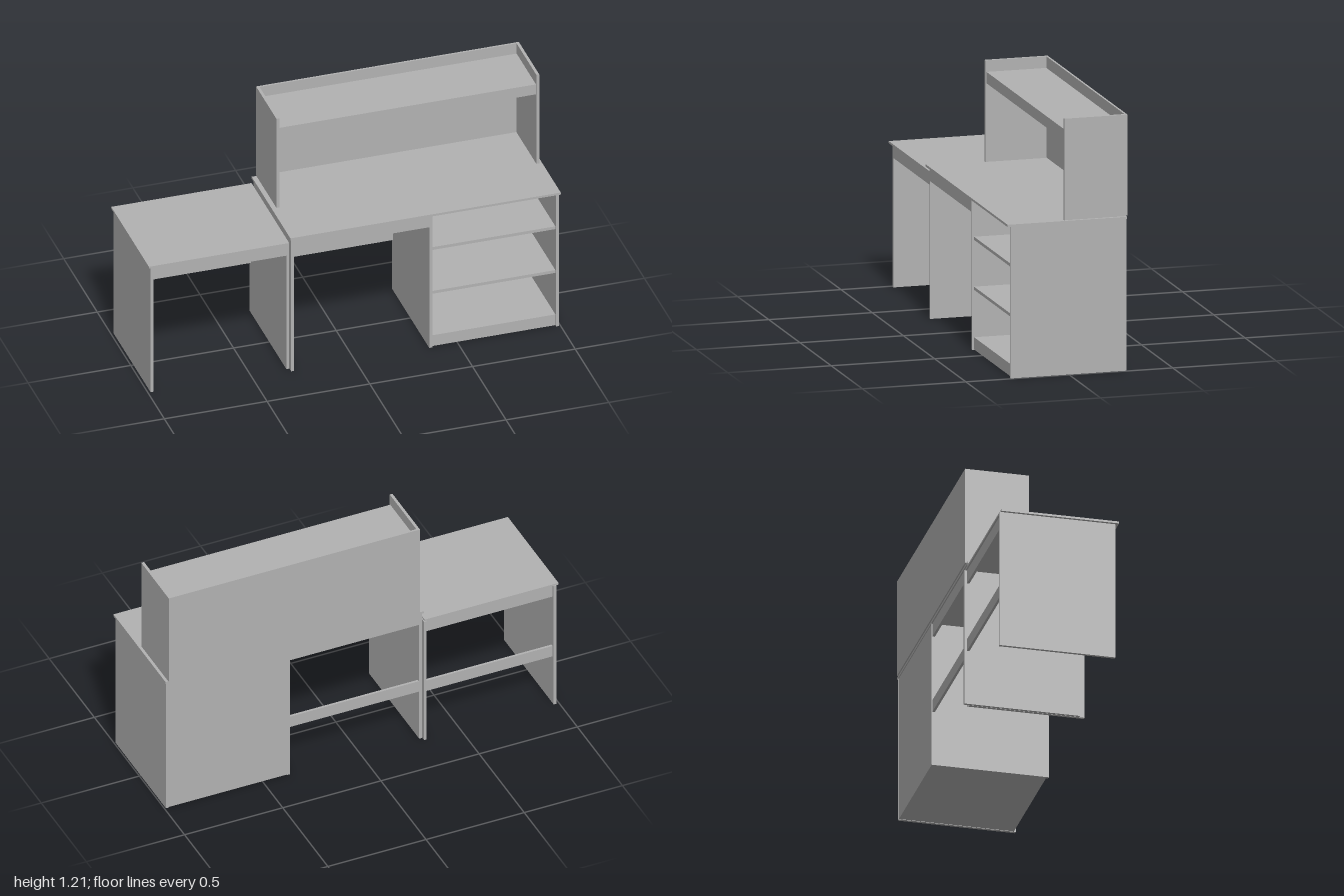
import * as THREE from 'three';

const panelGrey = new THREE.MeshStandardMaterial({ color: 0xb2b2b2 });
panelGrey.name = 'panelGrey';

// Flat board given by its extents along each axis
function board(parent, name, [x0, x1], [y0, y1], [z0, z1]) {
  const mesh = new THREE.Mesh(new THREE.BoxGeometry(x1 - x0, y1 - y0, z1 - z0), panelGrey);
  mesh.position.set((x0 + x1) / 2, (y0 + y1) / 2, (z0 + z1) / 2);
  mesh.name = name;
  parent.add(mesh);
}

function section(parent, name) {
  const group = new THREE.Group();
  group.name = name;
  parent.add(group);
  return group;
}

// Front and back aprons under a top, plus the low stretcher at the back
function rails(parent, x, top, front, back) {
  const t = 0.012;
  board(parent, 'frontApron', x, [top - 0.065, top], [front - t, front]);
  board(parent, 'backApron', x, [top - 0.065, top], [back, back + t]);
  board(parent, 'stretcher', x, [0.27, 0.33], [back, back + t]);
}

export function createModel() {
  const model = new THREE.Group();
  model.name = 'deskWithHutch';

  // Lower side desk
  const side = section(model, 'sideDesk');
  board(side, 'sideDeskTop', [-1, -0.318], [0.68, 0.69], [-0.292, 0.27]);
  board(side, 'outerLeg', [-0.987, -0.973], [0, 0.682], [-0.297, 0.255]);
  board(side, 'innerLeg', [-0.326, -0.313], [0, 0.682], [-0.297, 0.255]);
  rails(side, [-0.973, -0.326], 0.68, 0.256, -0.285);

  // Main desk
  const main = section(model, 'mainDesk');
  board(main, 'mainDeskTop', [-0.32, 0.996], [0.72, 0.731], [-0.281, 0.297]);
  board(main, 'mainLeg', [-0.311, -0.297], [0, 0.72], [-0.278, 0.281]);
  rails(main, [-0.297, 0.361], 0.72, 0.283, -0.275);

  // Open shelf cabinet
  const cabinet = section(model, 'cabinet');
  const inside = [0.376, 0.978];
  board(cabinet, 'cabinetInnerSide', [0.361, 0.376], [0, 0.72], [-0.278, 0.281]);
  board(cabinet, 'cabinetOuterSide', [0.978, 0.993], [0, 0.72], [-0.278, 0.281]);
  board(cabinet, 'cabinetBack', inside, [0.002, 0.72], [-0.277, -0.266]);
  board(cabinet, 'cabinetBase', inside, [0.002, 0.06], [-0.266, 0.272]);
  for (const y of [0.285, 0.522]) board(cabinet, 'cabinetShelf', inside, [y, y + 0.015], [-0.266, 0.272]);
  board(cabinet, 'cabinetTopPanel', inside, [0.71, 0.72], [-0.266, 0.272]);

  // Raised hutch
  const hutch = section(model, 'hutch');
  board(hutch, 'hutchLeftSide', [0.968, 0.982], [0.731, 1.213], [-0.276, 0.019]);
  board(hutch, 'hutchRightSide', [-0.297, -0.283], [0.731, 1.213], [-0.276, 0.019]);
  board(hutch, 'hutchBack', [-0.297, 0.982], [0.733, 1.213], [-0.286, -0.276]);
  board(hutch, 'hutchShelf', [-0.283, 0.968], [1.146, 1.158], [-0.276, 0.002]);
  board(hutch, 'hutchShelfLip', [-0.283, 0.968], [1.104, 1.158], [0.002, 0.013]);

  return model;
}
